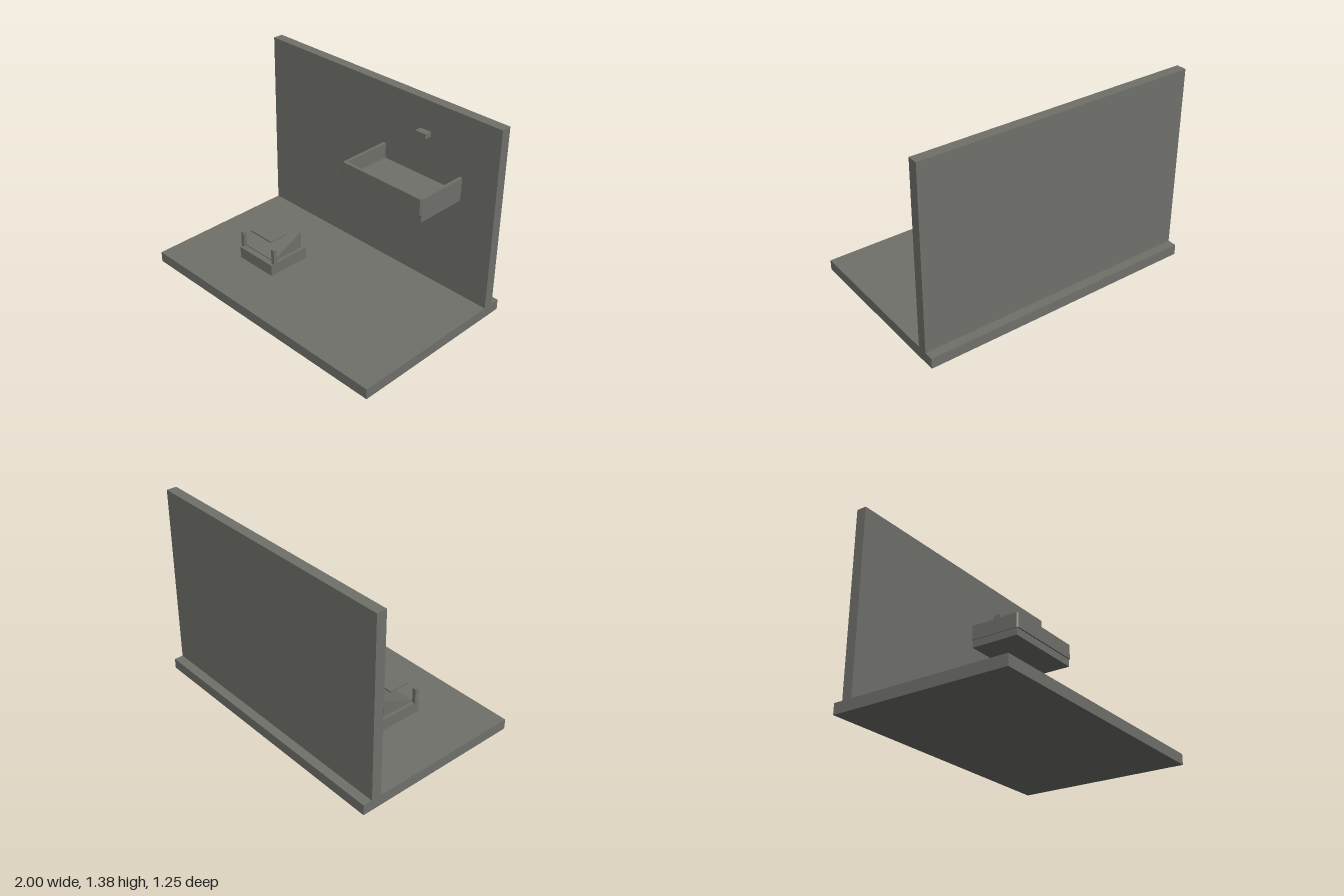
import * as THREE from 'three';

export function createModel() {
  const model = new THREE.Group();
  const grey = new THREE.MeshStandardMaterial({ color: 0x70716b });
  grey.name = 'warm grey';

  function add(name, geometry, parent = model) {
    const mesh = new THREE.Mesh(geometry, grey);
    mesh.name = name;
    parent.add(mesh);
    return mesh;
  }

  // Box given by its limits on each axis
  function block(name, [x0, x1], [y0, y1], [z0, z1], parent) {
    const mesh = add(name, new THREE.BoxGeometry(x1 - x0, y1 - y0, z1 - z0), parent);
    mesh.position.set((x0 + x1) / 2, (y0 + y1) / 2, (z0 + z1) / 2);
    return mesh;
  }

  // Floor slab and upright back wall
  block('floorSlab', [-1, 1], [0, 0.075], [-0.625, 0.625]);
  block('backWall', [-1, 1], [0.075, 1.376], [-0.56, -0.488]);

  // Launcher: plinth, sloping ramp, two posts and a hovering plate
  const launcher = new THREE.Group();
  launcher.name = 'launcher';
  model.add(launcher);
  block('plinth', [-0.562, -0.24], [0.075, 0.16], [-0.06, 0.262], launcher);

  const side = new THREE.Shape([
    new THREE.Vector2(-0.22, 0.16),
    new THREE.Vector2(0.037, 0.16),
    new THREE.Vector2(0.037, 0.287),
    new THREE.Vector2(-0.22, 0.167),
  ]);
  const ramp = add('ramp', new THREE.ExtrudeGeometry(side, { depth: 0.276, bevelEnabled: false }), launcher);
  ramp.rotation.y = Math.PI / 2; // profile x becomes -z, depth becomes +x
  ramp.position.x = -0.541;

  for (const s of [-1, 1]) {
    const x = -0.402 + s * 0.155;
    block(s < 0 ? 'rightPost' : 'leftPost', [x - 0.013, x + 0.013], [0.157, 0.273], [0.216, 0.243], launcher);
  }
  block('hoverPlate', [-0.504, -0.304], [0.287, 0.299], [0.055, 0.206], launcher);

  // Tray in front of the wall: floor with a three-sided rim, open at the back
  const tray = new THREE.Group();
  tray.name = 'tray';
  model.add(tray);
  block('trayFloor', [0.097, 0.75], [0.8, 0.857], [-0.462, -0.09], tray);

  const [l, r, b, f, t, c] = [0.091, 0.754, 0.462, 0.079, 0.021, 0.011];
  const rim = new THREE.Shape([
    [l, b], [l, f + c], [l + c, f], [r - c, f], [r, f + c], [r, b],
    [r - t, b], [r - t, f + t], [l + t, f + t], [l + t, b],
  ].map(([x, y]) => new THREE.Vector2(x, y)));
  const rimMesh = add('trayRim', new THREE.ExtrudeGeometry(rim, { depth: 0.11, bevelEnabled: false }), tray);
  rimMesh.rotation.x = -Math.PI / 2; // plan y becomes -z, depth becomes height
  rimMesh.position.y = 0.855;

  // Small sensor fixed to the wall above the tray
  block('wallSensor', [0.378, 0.465], [1.135, 1.168], [-0.488, -0.437]);

  return model;
}
